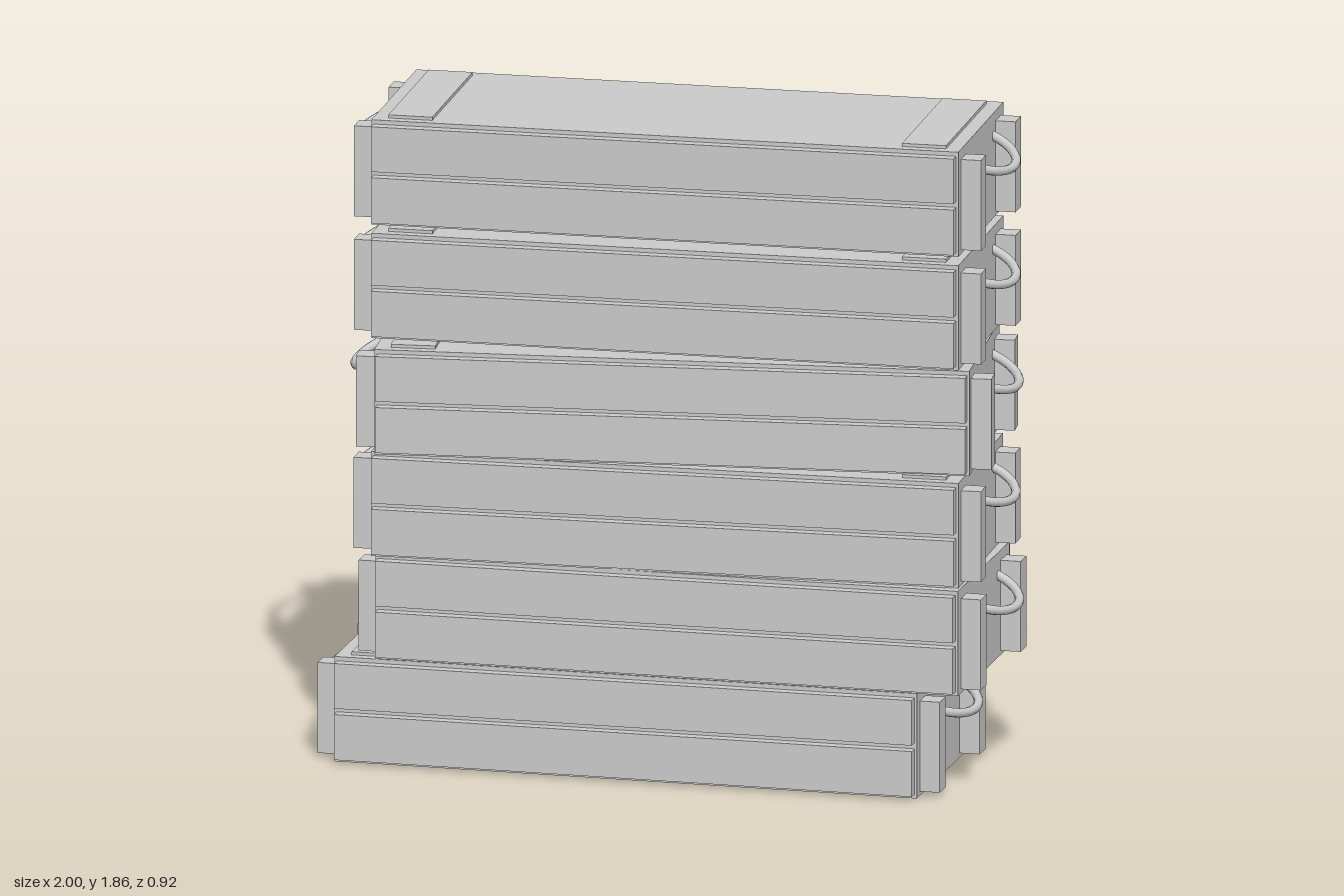
import * as THREE from 'three';

const material = new THREE.MeshStandardMaterial({ color: 0xcccccc });

// Box spanning y0..y1, centred at (x, z)
function addBox(parent, name, length, y0, y1, depth, x = 0, z = 0) {
  const mesh = new THREE.Mesh(new THREE.BoxGeometry(length, y1 - y0, depth), material);
  mesh.position.set(x, (y0 + y1) / 2, z);
  mesh.name = name;
  parent.add(mesh);
}

// Rope loop that bulges outward and sags between its two ends
function ropeGeometry() {
  const points = [];
  for (let i = 0; i <= 12; i++) {
    const t = (i / 12) * Math.PI;
    points.push(new THREE.Vector3(
      0.83 + 0.098 * Math.sin(t), 0.237 - 0.043 * Math.sin(t), 0.16 * Math.cos(t)));
  }
  return new THREE.TubeGeometry(new THREE.CatmullRomCurve3(points), 32, 0.013, 10);
}

function createCrate(rope) {
  const crate = new THREE.Group();
  addBox(crate, 'crateBody', 1.668, 0, 0.3, 0.574);

  // Two planks along each long side
  for (const side of [-1, 1]) {
    for (const [y0, y1] of [[0.012, 0.142], [0.159, 0.288]]) {
      addBox(crate, 'sidePlank', 1.655, y0, y1, 0.034, 0, side * 0.302);
    }
  }

  // Fittings at both ends: lid batten, end posts, rope handle
  for (const end of [-1, 1]) {
    addBox(crate, 'lidBatten', 0.125, 0.296, 0.309, 0.515, end * 0.73);
    for (const side of [-1, 1]) {
      addBox(crate, 'endPost', 0.064, 0.012, 0.271, 0.065, end * 0.859, side * 0.221);
    }
    const handle = new THREE.Mesh(rope, material);
    handle.name = 'ropeHandle';
    handle.rotation.y = end > 0 ? 0 : Math.PI;
    crate.add(handle);
  }
  return crate;
}

export function createModel() {
  const model = new THREE.Group();
  model.name = 'crateStack';
  const rope = ropeGeometry();

  // Base height, x offset and turn of each crate, bottom to top
  const stack = [
    [0, -0.06, 0.072],
    [0.303, 0.06, 0.072],
    [0.604, 0.044, 0.107],
    [0.911, 0.044, 0.177],
    [1.228, 0.045, 0.105],
    [1.553, 0.045, 0.105],
  ];
  stack.forEach(([y, x, turn], i) => {
    const crate = createCrate(rope);
    crate.name = `crate${i + 1}`;
    crate.position.set(x, y, 0);
    crate.rotation.y = turn;
    model.add(crate);
  });
  return model;
}
